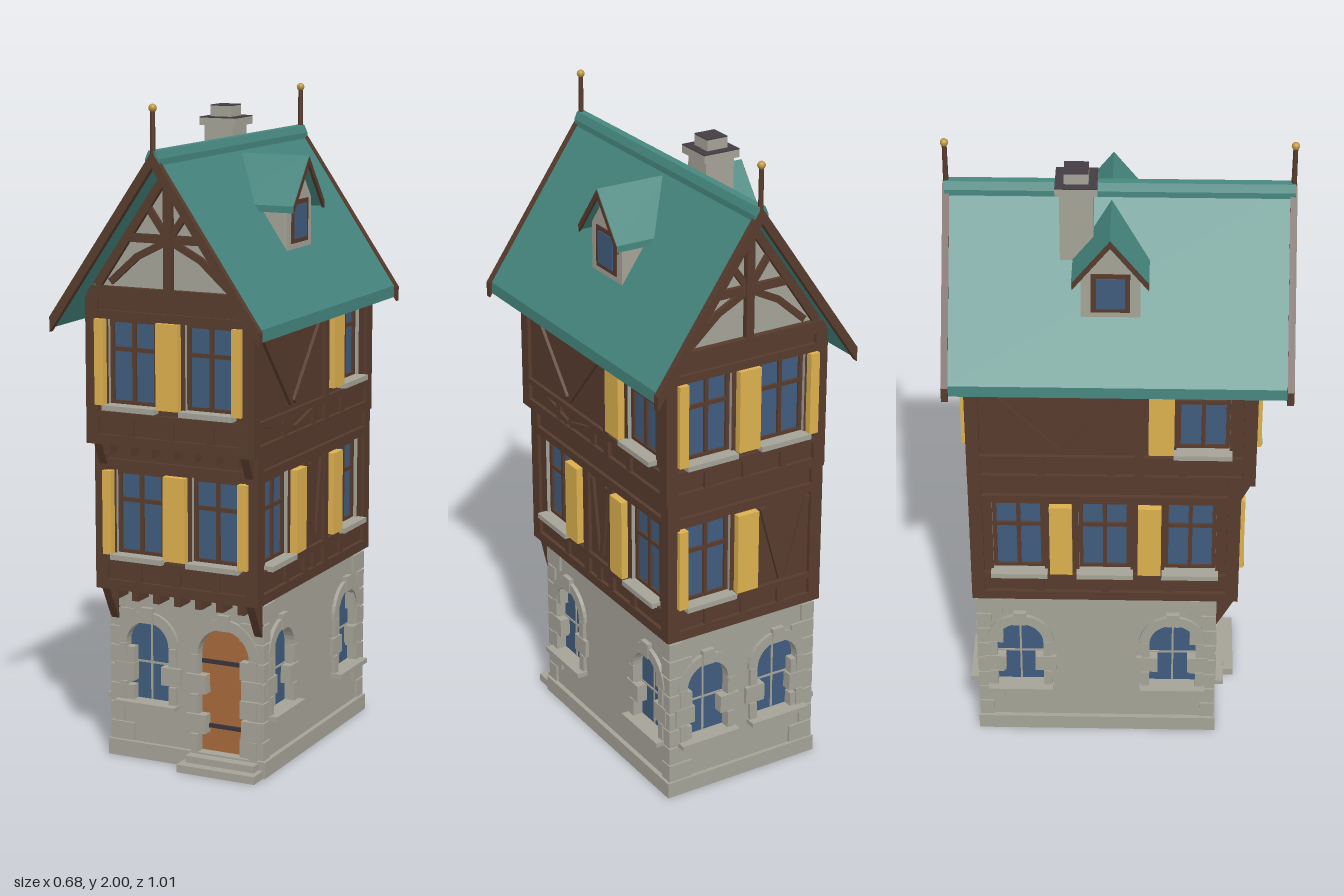
import * as THREE from 'three';

const mat = (name, color) => Object.assign(new THREE.MeshStandardMaterial({ color }), { name });

export function createModel() {
  const stone = mat('stone', 0xa5a397), timber = mat('dark timber', 0x573b2d), tile = mat('teal roof', 0x46877f);
  const glass = mat('blue glass', 0x405c7e), yellow = mat('yellow shutter', 0xdcb04e), wood = mat('door wood', 0xa66a3b);
  const iron = mat('iron', 0x3a343a), slate = mat('chimney slate', 0x433c44), brass = mat('brass', 0xbd963f);
  const house = new THREE.Group();
  house.name = 'timberFramedTownHouse';
  const T = 0.026; // depth of the window recesses

  const add = (parent, name, geo, m, x = 0, y = 0, z = 0) => {
    const mesh = new THREE.Mesh(geo, m);
    mesh.name = name;
    mesh.position.set(x, y, z);
    parent.add(mesh);
    return mesh;
  };
  // box given by its limits
  const box = (parent, name, m, x0, x1, y0, y1, z0, z1) =>
    add(parent, name, new THREE.BoxGeometry(x1 - x0, y1 - y0, z1 - z0), m, (x0 + x1) / 2, (y0 + y1) / 2, (z0 + z1) / 2);
  // straight beam between two points of a wall, standing out by d
  const beam = (parent, name, x0, y0, x1, y1, w, d = 0.01) => {
    const b = add(parent, name, new THREE.BoxGeometry(Math.hypot(x1 - x0, y1 - y0), w, d), timber, (x0 + x1) / 2, (y0 + y1) / 2, d / 2);
    b.rotation.z = Math.atan2(y1 - y0, x1 - x0);
  };
  const poly = (pts) => new THREE.Shape(pts.map(([x, y]) => new THREE.Vector2(x, y)));
  const rect = (x0, x1, y0, y1) => poly([[x0, y0], [x1, y0], [x1, y1], [x0, y1]]);
  const extrude = (shape, depth) => new THREE.ExtrudeGeometry(shape, { depth, bevelEnabled: false, curveSegments: 8 });

  // a storey: inner core plus four wall skins that are cut by their openings;
  // in each wall group x runs to the right as seen from outside and z points out
  const skins = [];
  const storey = (name, m, y0, y1, hx, z0, z1) => {
    box(house, name + 'Core', m, -hx + T, hx - T, y0, y1, z0 + T, z1 - T);
    box(house, name + 'Floor', m, -hx, hx, y0, y0 + 0.02, z0, z1);
    const wall = (side, x, z, ry, a, b) => {
      const g = new THREE.Group();
      g.name = name + side;
      g.position.set(x, 0, z);
      g.rotation.y = ry;
      house.add(g);
      const skin = { g, a, b, holes: [], m, y0, y1 };
      skins.push(skin);
      return skin;
    };
    return {
      front: wall('Front', 0, z1, 0, -hx, hx), back: wall('Back', 0, z0, Math.PI, -hx, hx),
      east: wall('East', hx, 0, Math.PI / 2, -z1, -z0), west: wall('West', -hx, 0, -Math.PI / 2, z0, z1),
    };
  };

  // ---------- stone ground floor ----------
  const ground = storey('ground', stone, 0, 0.54, 0.25, -0.43, 0.295);
  box(house, 'plinth', stone, -0.265, 0.265, 0, 0.05, -0.442, 0.308);
  for (const sx of [-1, 1]) for (const [z, sz] of [[0.295, 1], [-0.43, -1]]) {
    for (let i = 0; i < 8; i++) {
      const lx = i % 2 ? 0.045 : 0.08, lz = i % 2 ? 0.08 : 0.045, o = 0.008;
      add(house, 'cornerStone', new THREE.BoxGeometry(lx, 0.055, lz), stone,
        sx * (0.25 + o - lx / 2), 0.08 + i * 0.06, z + sz * (o - lz / 2));
    }
  }
  const archShape = (u, r, y0, spring) => {
    const s = new THREE.Shape();
    s.moveTo(u - r, y0);
    s.lineTo(u + r, y0);
    s.lineTo(u + r, spring);
    s.absarc(u, spring, r, 0, Math.PI, false);
    return s;
  };
  const archOpening = (wall, u, r, y0, spring, isDoor) => {
    const g = new THREE.Group();
    g.name = isDoor ? 'door' : 'archedWindow';
    g.position.x = u;
    wall.g.add(g);
    wall.holes.push(archShape(u, r, y0, spring));
    add(g, isDoor ? 'doorLeaf' : 'archedGlass', extrude(archShape(0, r, y0, spring), 0.005), isDoor ? wood : glass, 0, 0, -T);
    // stone arch with keystone, and alternating jamb blocks
    const ring = new THREE.Shape();
    ring.absarc(0, spring, r + 0.032, 0, Math.PI, false);
    ring.absarc(0, spring, r, Math.PI, 0, true);
    add(g, 'archStones', extrude(ring, 0.012), stone);
    box(g, 'keystone', stone, -0.02, 0.02, spring + r - 0.003, spring + r + 0.045, 0, 0.016);
    const n = isDoor ? 5 : 3, h = (spring - y0) / n;
    for (const s of [-1, 1]) for (let i = 0; i < n; i++) {
      const long = i % 2 === 0, a = s * (r - (long ? 0 : 0.026)), b = s * (r + (long ? 0.025 : 0.04));
      box(g, 'jambStone', stone, Math.min(a, b), Math.max(a, b), y0 + i * h + 0.002, y0 + (i + 1) * h - 0.002, -T, 0.012);
    }
    if (isDoor) {
      for (const y of [0.13, 0.33]) box(g, 'strapHinge', iron, -r + 0.002, r - 0.01, y - 0.006, y + 0.006, -T, 0.013 - T);
    } else {
      box(g, 'windowSill', stone, -r - 0.03, r + 0.03, y0 - 0.012, y0 + 0.003, -T, 0.036);
      box(g, 'mullion', stone, -0.003, 0.003, y0, spring + r, -T, 0.008 - T);
      box(g, 'transom', stone, -r, r, 0.297, 0.303, -T, 0.008 - T);
    }
  };
  const arch = (wall, u) => archOpening(wall, u, 0.072, 0.18, 0.36, false);
  arch(ground.front, -0.13);
  archOpening(ground.front, 0.125, 0.085, 0.045, 0.355, true);
  for (const u of [-0.17, 0.305]) arch(ground.east, u);
  for (const u of [0.17, -0.305]) arch(ground.west, u);
  for (const u of [-0.125, 0.125]) arch(ground.back, u);
  box(house, 'lowerStep', stone, 0, 0.258, 0, 0.024, 0.29, 0.37);
  box(house, 'upperStep', stone, 0.015, 0.243, 0.024, 0.045, 0.26, 0.34);

  // ---------- two timber storeys ----------
  const first = storey('firstFloor', timber, 0.54, 0.99, 0.257, -0.435, 0.355);
  const second = storey('secondFloor', timber, 0.99, 1.45, 0.262, -0.435, 0.395);
  for (const { g, a, b, y0, y1 } of [...Object.values(first), ...Object.values(second)]) {
    for (const [r0, r1] of [[0, 0.03], [0.082, 0.1], [0.375, 0.4]])
      box(g, 'rail', timber, a - 0.012, b + 0.012, y0 + r0, y0 + r1, 0, 0.012);
    for (const [p0, p1] of [[a - 0.012, a + 0.028], [b - 0.028, b + 0.012]])
      box(g, 'cornerPost', timber, p0, p1, y0, y1, 0, 0.012);
    for (let i = 1; i < 4; i++) {
      const u = a + ((b - a) * i) / 4;
      box(g, 'shortStud', timber, u - 0.012, u + 0.012, y0 + 0.03, y0 + 0.082, 0, 0.009);
    }
  }
  // recessed casement with sill; each shutter is a pair of horizontal limits
  const casement = (wall, u, y, shutters) => {
    const g = new THREE.Group(), h = 0.078;
    g.name = 'casementWindow';
    g.position.set(u, y, -T);
    wall.g.add(g);
    wall.holes.push(rect(u - h, u + h, y, y + 0.256));
    box(g, 'pane', glass, -h, h, 0, 0.256, 0, 0.006);
    for (const x of [0.006 - h, 0, h - 0.006]) box(g, 'uprightBar', timber, x - 0.006, x + 0.006, 0, 0.256, 0, 0.014);
    for (const v of [0.006, 0.165, 0.25]) box(g, 'crossBar', timber, -h, h, v - 0.006, v + 0.006, 0, 0.014);
    box(g, 'sill', stone, -h - 0.008, h + 0.008, -0.014, 0.002, 0, T + 0.03);
    for (const [a, b] of shutters) box(wall.g, 'shutter', yellow, a, b, y, y + 0.255, 0.004, 0.026);
  };
  const pair = (wall, y) => {
    casement(wall, -0.126, y, [[-0.238, -0.208], [-0.036, 0.036]]);
    casement(wall, 0.126, y, [[0.208, 0.238]]);
  };
  const vBrace = ({ g }, a, b, y0, y1) => {
    const m = (a + b) / 2;
    beam(g, 'brace', a, y1, m - 0.01, y0, 0.018);
    beam(g, 'brace', b, y1, m + 0.01, y0, 0.018);
  };
  const stud = ({ g }, u, y0) => box(g, 'stud', timber, u - 0.014, u + 0.014, y0, y0 + 0.35, 0, 0.012);
  pair(first.front, 0.65);
  pair(second.front, 1.11);
  pair(second.back, 1.11);
  casement(first.back, -0.126, 0.65, [[-0.238, -0.208], [-0.036, 0.036]]);
  vBrace(first.back, 0.06, 0.22, 0.65, 0.9);
  casement(first.east, -0.218, 0.65, [[-0.13, -0.06]]);
  casement(first.east, 0.3, 0.65, [[0.138, 0.206]]);
  vBrace(first.east, 0, 0.09, 0.66, 0.9);
  for (const u of [-0.03, 0.115]) stud(first.east, u, 0.57);
  casement(second.east, 0.29, 1.11, [[0.125, 0.2]]);
  vBrace(second.east, -0.34, 0.08, 1.11, 1.34);
  vBrace(second.east, -0.33, 0.08, 1.03, 1.08);
  stud(second.east, 0.104, 1.02);
  casement(first.west, -0.3, 0.65, [[-0.206, -0.138]]);
  casement(first.west, -0.04, 0.65, []);
  casement(first.west, 0.218, 0.65, [[0.06, 0.13]]);
  casement(second.west, 0.25, 1.11, [[0.09, 0.165]]);
  vBrace(second.west, -0.4, 0.06, 1.11, 1.34);
  stud(second.west, 0.064, 1.02);

  // wall skins with openings and pale reveals
  for (const { g, a, b, holes, m, y0, y1 } of skins) {
    const s = rect(a + 0.001, b - 0.001, y0 + 0.001, y1);
    s.holes = holes;
    add(g, 'wallSkin', extrude(s, T), [m, stone], 0, 0, -T);
  }

  // joist ends and slender brackets under the overhangs
  const jetty = (y, zWall, zOut, drop) => {
    for (let i = -3; i <= 3; i++) box(house, 'joistEnd', timber, i * 0.07 - 0.011, i * 0.07 + 0.011, y - 0.03, y, zWall, zOut);
    const w = zOut - zWall, s = poly([[0, -drop], [w * 0.3, -drop * 0.72], [w * 0.62, -drop * 0.4], [w, 0], [0, 0]]);
    for (const x of [-0.24, 0.24])
      add(house, 'jettyBracket', extrude(s, 0.026), timber, x + 0.013, y, zWall).rotation.y = -Math.PI / 2;
  };
  jetty(0.54, 0.295, 0.36, 0.12);
  jetty(0.99, 0.355, 0.4, 0.09);

  // ---------- gables ----------
  for (const { g } of [second.front, second.back]) {
    add(g, 'gableInfill', extrude(poly([[-0.262, 1.44], [0.262, 1.44], [0, 1.828]]), 0.02), stone, 0, 0, -0.02);
    box(g, 'tieBeam', timber, -0.26, 0.26, 1.425, 1.462, 0, 0.02);
    box(g, 'kingPost', timber, -0.013, 0.013, 1.45, 1.82, 0, 0.018);
    box(g, 'collarBeam', timber, -0.14, 0.14, 1.595, 1.62, 0, 0.014);
    for (const s of [-1, 1]) {
      beam(g, 'gableRafter', s * 0.232, 1.464, 0, 1.802, 0.025, 0.016);
      beam(g, 'lowerBrace', s * 0.19, 1.475, s * 0.1, 1.555, 0.02, 0.012);
      beam(g, 'lowerBrace', s * 0.104, 1.552, 0, 1.605, 0.02, 0.012);
      beam(g, 'upperBrace', s * 0.075, 1.71, 0, 1.605, 0.02, 0.012);
    }
  }

  // ---------- main roof ----------
  const chevron = (w, top, eave, t) => poly([[0, top], [-w, eave], [-w, eave - t], [0, top - t], [w, eave - t], [w, eave]]);
  add(house, 'roof', extrude(chevron(0.33, 1.86, 1.38, 0.036), 0.98), tile, 0, 0, -0.49);
  add(house, 'ridgeCap', extrude(poly([[-0.022, 1.82], [0.022, 1.82], [0.022, 1.846], [0.012, 1.869], [-0.012, 1.869], [-0.022, 1.846]]), 1), tile, 0, 0, -0.5);
  for (const s of [-1, 1]) {
    add(house, 'bargeboard', extrude(chevron(0.338, 1.866, 1.376, 0.045), 0.02), timber, 0, 0, s * 0.495 - 0.01);
    add(house, 'finialRod', new THREE.CylinderGeometry(0.007, 0.008, 0.13, 10), timber, 0, 1.915, s * 0.495);
    add(house, 'finialBall', new THREE.SphereGeometry(0.012, 12, 10), brass, 0, 1.988, s * 0.495);
  }

  // ---------- dormers ----------
  for (const s of [-1, 1]) {
    const g = new THREE.Group();
    g.name = s > 0 ? 'leftDormer' : 'rightDormer';
    g.position.z = -0.022;
    g.rotation.y = s * Math.PI / 2;
    house.add(g);
    const body = poly([[-0.085, 1.5], [0.085, 1.5], [0.085, 1.69], [0, 1.8], [-0.085, 1.69]]);
    add(g, 'dormerWall', extrude(body, 0.155), stone, 0, 0, 0.06);
    add(g, 'dormerRoof', extrude(chevron(0.11, 1.822, 1.682, 0.02), 0.226), tile, 0, 0, 0.02);
    add(g, 'dormerBargeboard', extrude(chevron(0.109, 1.82, 1.681, 0.024), 0.008), timber, 0, 0, 0.2395);
    box(g, 'dormerWindowFrame', timber, -0.056, 0.056, 1.565, 1.692, 0.21, 0.219);
    box(g, 'dormerGlass', glass, -0.041, 0.041, 1.578, 1.678, 0.216, 0.222);
  }

  // ---------- chimney ----------
  box(house, 'chimneyStack', stone, -0.124, -0.03, 1.6, 1.9, -0.168, -0.072);
  for (const [x0, x1, y0, y1, z0, z1] of [[-0.135, -0.016, 1.895, 1.918, -0.18, -0.06], [-0.11, -0.042, 1.92, 1.953, -0.155, -0.085]]) {
    box(house, 'chimneyCap', stone, x0, x1, y0, y1, z0, z1);
    box(house, 'chimneyCapTop', slate, x0, x1, y1, y1 + 0.003, z0, z1);
  }
  return house;
}
